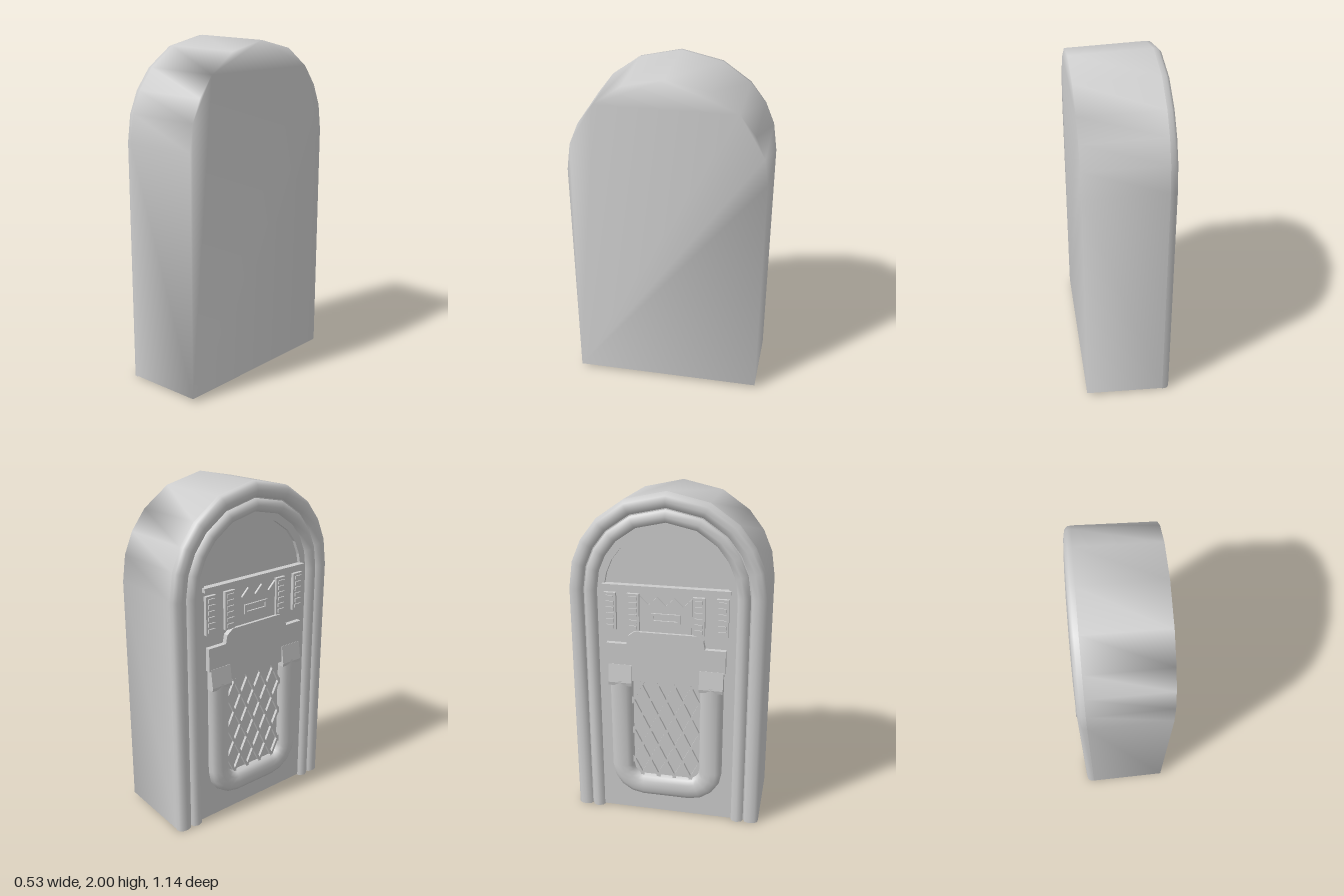
import * as THREE from 'three';

const material = new THREE.MeshStandardMaterial({ color: 0xcccccc });
const SPRING = 1.43; // height where the straight sides turn into the arch
const FACE = 0.222;  // depth of the decorated face

// Arch outline, anticlockwise from lower right to lower left
function arch(w, base = 0, spring = SPRING) {
  const half = [0, 16, 30, 45, 65];
  const angles = [...half, 90, ...half.slice().reverse().map(a => 180 - a)];
  const curve = angles.map(a => {
    const t = THREE.MathUtils.degToRad(a);
    return [w * Math.cos(t), spring + w * Math.sin(t)];
  });
  return [[w, base], ...curve, [-w, base]];
}

// U outline with rounded lower corners, from upper left round to upper right
function uShape(w) {
  const c = 0.14, r = w - c, pts = [[-w, 0.89]];
  for (const [side, start] of [[-1, 180], [1, 270]]) {
    for (let i = 0; i <= 4; i++) {
      const t = THREE.MathUtils.degToRad(start + i * 22.5);
      pts.push([side * c + r * Math.cos(t), 0.32 + r * Math.sin(t)]);
    }
  }
  pts.push([w, 0.89]);
  return pts;
}

const toShape = pts => new THREE.Shape(pts.map(p => new THREE.Vector2(...p)));

// Smooth surface through outlines [points, depth]; can close the first outline
function loft(sections, closeFirst = false) {
  const n = sections[0][0].length, pos = [], index = [];
  sections.forEach(([pts, z]) => pts.forEach(([x, y]) => pos.push(x, y, z)));
  for (let s = 0; s < sections.length - 1; s++) {
    for (let j = 0; j < n - 1; j++) {
      const a = s * n + j, b = a + n;
      index.push(a, a + 1, b + 1, a, b + 1, b);
    }
  }
  if (closeFirst) {
    const flat = sections[0][0].map(p => new THREE.Vector2(...p));
    for (const [a, b, c] of THREE.ShapeUtils.triangulateShape(flat, [])) index.push(a, c, b);
  }
  const g = new THREE.BufferGeometry();
  g.setAttribute('position', new THREE.Float32BufferAttribute(pos, 3));
  g.setIndex(index);
  g.computeVertexNormals();
  return g;
}

function extrude(pts, depth, holes = []) {
  const shape = toShape(pts);
  shape.holes = holes.map(h => new THREE.Path(h.map(p => new THREE.Vector2(...p))));
  return new THREE.ExtrudeGeometry(shape, { depth, bevelEnabled: false });
}

export function createModel() {
  const model = new THREE.Group();
  model.name = 'jukebox';
  // Built facing +z, then turned so that the decorated face looks along -x
  const cabinet = new THREE.Group();
  cabinet.name = 'cabinet';
  cabinet.rotation.y = -Math.PI / 2;
  model.add(cabinet);

  function add(name, geometry, x = 0, y = 0, z = 0) {
    const mesh = new THREE.Mesh(geometry, material);
    mesh.name = name;
    mesh.position.set(x, y, z);
    cabinet.add(mesh);
    return mesh;
  }
  const box = (name, w, h, d, x, y, z) => add(name, new THREE.BoxGeometry(w, h, d), x, y, z);

  // Body shell, tapering slightly to a soft-edged back
  const back = arch(0.56, 0.02, 1.425), front = arch(0.57, 0.005);
  add('bodyShell', loft([[back, -0.265], [front, 0.2]], true));
  add('bodyBottom', loft([
    [[[-0.56, 0.02], [0.56, 0.02]], -0.265],
    [[[-0.57, 0.005], [0.57, 0.005]], 0.2],
  ]));
  add('windowBack', new THREE.ShapeGeometry(toShape(front)), 0, 0, 0.2);

  // Face plate with the arched window cut out
  const windowHole = arch(0.36, 1.46).filter((p, i) => i !== 1 && i !== 11);
  add('facePlate', extrude(arch(0.5, 0.005), FACE - 0.2, [windowHole]), 0, 0, 0.2);

  // Two rounded arch bands round the face
  const bands = {
    outerBand: [[0.57, 0.2], [0.567, 0.225], [0.55, 0.241], [0.52, 0.247], [0.49, 0.238], [0.48, 0.215]],
    innerBand: [[0.48, 0.215], [0.47, 0.239], [0.44, 0.252], [0.41, 0.239], [0.4, 0.215]],
  };
  for (const [name, profile] of Object.entries(bands)) {
    add(name, loft(profile.map(([w, z]) => [arch(w), z])));
    for (const side of [-1, 1]) {
      const end = new THREE.ShapeGeometry(toShape(profile.map(([w, z]) => [side * w, z])));
      add(name + 'End', end.rotateX(Math.PI / 2));
    }
  }

  // U-shaped tube round the speaker
  const tube = [[0.34, 0.22], [0.33, 0.25], [0.305, 0.266], [0.27, 0.27], [0.235, 0.266], [0.21, 0.25], [0.2, 0.22]];
  add('speakerTube', loft(tube.map(([w, z]) => [uShape(w), z])));

  // Crossed speaker lattice, each bar clipped to the opening
  for (const slope of [-2, 2]) {
    for (let k = -3; k <= 3; k++) {
      const c = 0.56 + k * 0.2;
      const ends = [(0.23 - c) / slope, (0.9 - c) / slope].sort((a, b) => a - b);
      const x0 = Math.max(-0.21, ends[0]), x1 = Math.min(0.21, ends[1]);
      if (x1 - x0 < 0.03) continue;
      const xm = (x0 + x1) / 2;
      const bar = box('latticeBar', (x1 - x0) * Math.hypot(1, slope), 0.016, 0.018, xm, c + slope * xm, FACE + 0.007);
      bar.rotation.z = Math.atan(slope);
    }
  }

  // Stepped apron above the speaker
  add('apron', extrude([
    [-0.35, 0.98], [-0.22, 0.98], [-0.2, 0.89], [0.2, 0.89], [0.22, 0.98], [0.35, 0.98],
    [0.35, 1.12], [0.23, 1.12], [0.22, 1.17], [0.18, 1.2], [-0.18, 1.2], [-0.22, 1.17], [-0.23, 1.12], [-0.35, 1.12],
  ], 0.03), 0, 0, FACE);

  // Wedge blocks capping the tube ends, thicker toward the bottom
  for (const side of [-1, 1]) {
    const wedge = extrude([[0.22, 0.86], [0.266, 0.86], [0.27, 0.88], [0.254, 0.99], [0.22, 0.99]], 0.14);
    wedge.rotateY(-Math.PI / 2); // profile depth to z, width to -x
    add('tubeEndBlock', wedge, side * 0.27 + 0.07, 0, 0);
  }

  // Window sill and upright selector strips with buttons
  box('windowSill', 0.74, 0.025, 0.04, 0, 1.46, 0.225);
  for (const side of [-1, 1]) {
    for (const x of [0.19, 0.325]) {
      box('selectorStrip', 0.07, 0.225, 0.02, side * x, 1.31, FACE + 0.01);
      for (let i = 0; i < 6; i++) {
        box('selectorButton', 0.045, 0.022, 0.012, side * x, 1.222 + i * 0.035, FACE + 0.022);
      }
    }
  }

  // Centre panel with a zigzag top and a raised slot frame
  const zigzag = [];
  for (let i = 0; i <= 6; i++) zigzag.push([0.15 - i * 0.05, i % 2 ? 1.36 : 1.41]);
  add('centrePanel', extrude([[-0.15, 1.2], [0.15, 1.2], ...zigzag], 0.012), 0, 0, FACE);
  add('slotFrame', extrude(
    [[-0.085, 1.26], [0.085, 1.26], [0.085, 1.315], [-0.085, 1.315]], 0.01,
    [[[-0.07, 1.273], [0.07, 1.273], [0.07, 1.302], [-0.07, 1.302]]],
  ), 0, 0, FACE + 0.012);

  return model;
}
